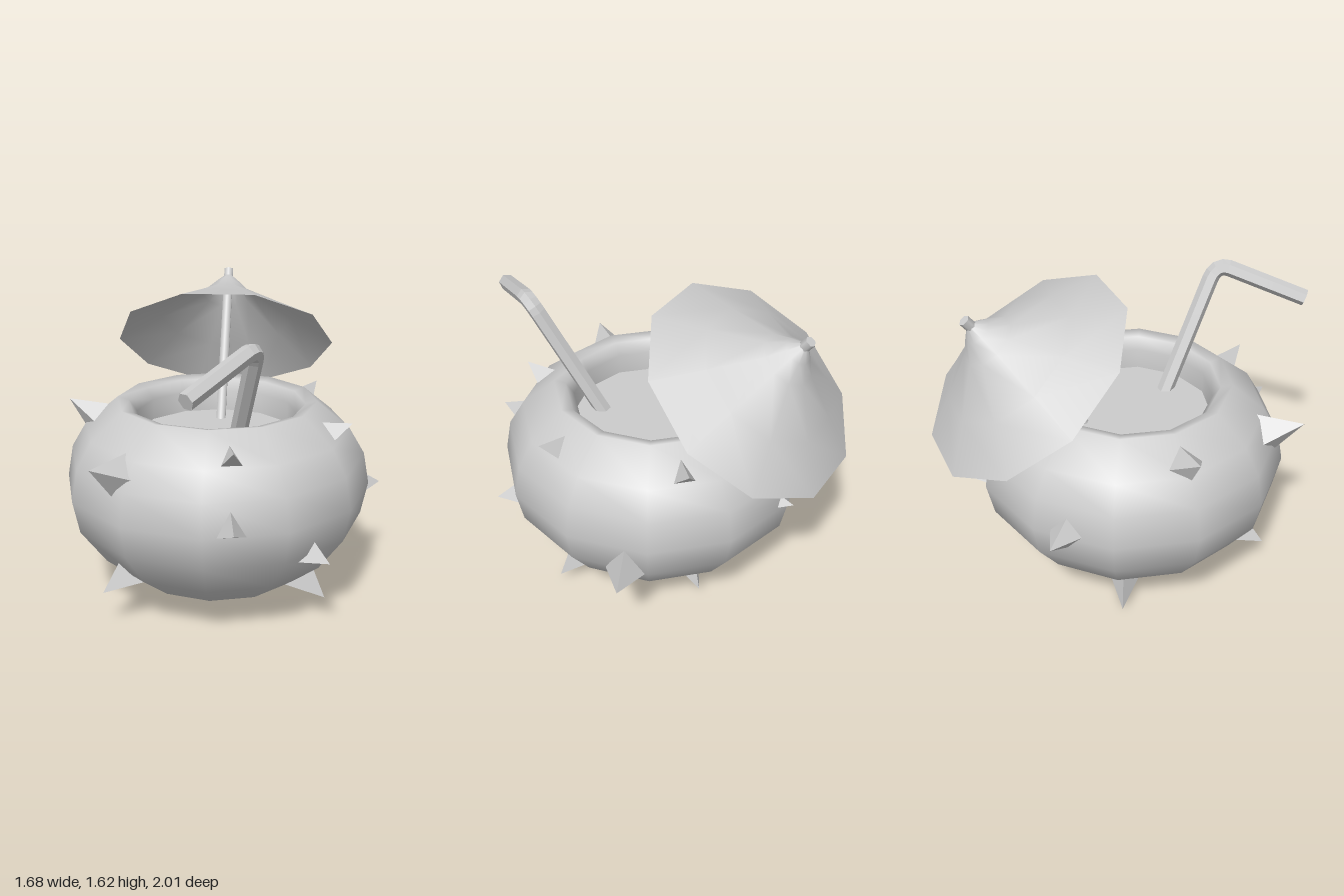
import * as THREE from 'three';

const smooth = new THREE.MeshStandardMaterial({ color: 0xcccccc });
const flat = new THREE.MeshStandardMaterial({ color: 0xcccccc, flatShading: true });
const thin = new THREE.MeshStandardMaterial({ color: 0xcccccc, side: THREE.DoubleSide });
const CX = -0.045; // shared axis of bowl and parasol

function add(parent, name, geometry, material) {
  const mesh = new THREE.Mesh(geometry, material);
  mesh.name = name;
  parent.add(mesh);
  return mesh;
}

const lathe = (points, sides) =>
  new THREE.LatheGeometry(points.map(([r, y]) => new THREE.Vector2(r, y)), sides);

// Spikes: tip x, y, z, base radius, length, sides
const SPIKES = [
  [-0.575, 0.93, 0.72, 0.13, 0.24, 4],
  [0.095, 1.03, 0.72, 0.085, 0.16, 3],
  [0.11, 0.70, 0.90, 0.095, 0.17, 3],
  [0.65, 1.03, 0.22, 0.085, 0.16, 3],
  [0.55, 0.45, 0.62, 0.095, 0.17, 3],
  [0.54, 0.07, 0.23, 0.11, 0.20, 3],
  [-0.57, 0.21, 0.54, 0.12, 0.22, 3],
  [-0.82, 1.06, 0.00, 0.12, 0.24, 4],
  [-0.55, 0.02, -0.27, 0.10, 0.20, 3],
  [0.84, 0.51, -0.35, 0.12, 0.21, 3],
  [0.475, 1.04, -0.52, 0.085, 0.17, 3],
  [0.00, 0.68, -0.85, 0.065, 0.13, 3],
  [-0.67, 0.68, -0.69, 0.11, 0.22, 4],
  [0.23, 0.07, -0.46, 0.085, 0.17, 3],
];

function addSpikes(parent) {
  const centre = new THREE.Vector3(CX, 0.55, 0);
  for (const [x, y, z, radius, length, sides] of SPIKES) {
    const tip = new THREE.Vector3(x, y, z);
    const out = tip.clone().sub(centre).normalize();
    // Apex along +z, one base corner upward
    const geometry = new THREE.ConeGeometry(radius, length, sides)
      .rotateY(Math.PI).rotateX(Math.PI / 2);
    const spike = add(parent, 'spike', geometry, flat);
    spike.position.copy(tip).addScaledVector(out, -length / 2);
    spike.lookAt(tip.add(out));
  }
}

// Straw with one rounded bend
function addStraw(parent) {
  const start = new THREE.Vector3(0.06, 0.85, 0.24);
  const corner = new THREE.Vector3(0.19, 1.5, 0.6);
  const end = new THREE.Vector3(-0.09, 1.35, 0.98);
  const a = corner.clone().lerp(start, 0.12);
  const b = corner.clone().lerp(end, 0.16);
  const path = new THREE.CurvePath();
  path.add(new THREE.LineCurve3(start, a));
  path.add(new THREE.QuadraticBezierCurve3(a, corner, b));
  path.add(new THREE.LineCurve3(b, end));
  const straw = new THREE.Group();
  straw.name = 'straw';
  parent.add(straw);
  add(straw, 'strawTube', new THREE.TubeGeometry(path, 40, 0.043, 6, false), flat);
  const cap = add(straw, 'strawEnd', new THREE.CircleGeometry(0.043, 6), flat);
  cap.position.copy(end);
  cap.lookAt(end.clone().multiplyScalar(2).sub(corner));
}

// Tilted ten-sided parasol with its stick
function addParasol(parent) {
  const parasol = new THREE.Group();
  parasol.name = 'parasol';
  parasol.position.set(CX, 1.2525, -0.55);
  parasol.rotation.x = -Math.atan2(0.611, 0.791);
  parent.add(parasol);
  const canopy = lathe([[0.6, 0], [0.37, 0.14], [0.14, 0.285], [0.07, 0.36], [0.015, 0.415]], 10);
  add(parasol, 'canopy', canopy.rotateY(Math.PI / 10), thin);
  const stick = add(parasol, 'stick', new THREE.CylinderGeometry(0.028, 0.028, 0.95, 6), smooth);
  stick.position.y = -0.025;
}

export function createModel() {
  const model = new THREE.Group();
  model.name = 'spikyFruitDrink';

  // Round bowl with a rolled rim and inner wall
  const bowl = add(model, 'bowl', lathe([
    [0, 0.005], [0.23, 0.04], [0.45, 0.14], [0.63, 0.28], [0.765, 0.465],
    [0.8, 0.635], [0.77, 0.8], [0.69, 0.935], [0.52, 1.075],
    [0.46, 1.06], [0.42, 1.0], [0.42, 0.86],
  ], 12), thin);
  bowl.position.x = CX;

  // Drink surface inside the bowl
  const drink = add(model, 'drink', new THREE.CircleGeometry(0.425, 12).rotateX(-Math.PI / 2), smooth);
  drink.position.set(CX, 0.89, 0);

  addSpikes(model);
  addStraw(model);
  addParasol(model);
  return model;
}
